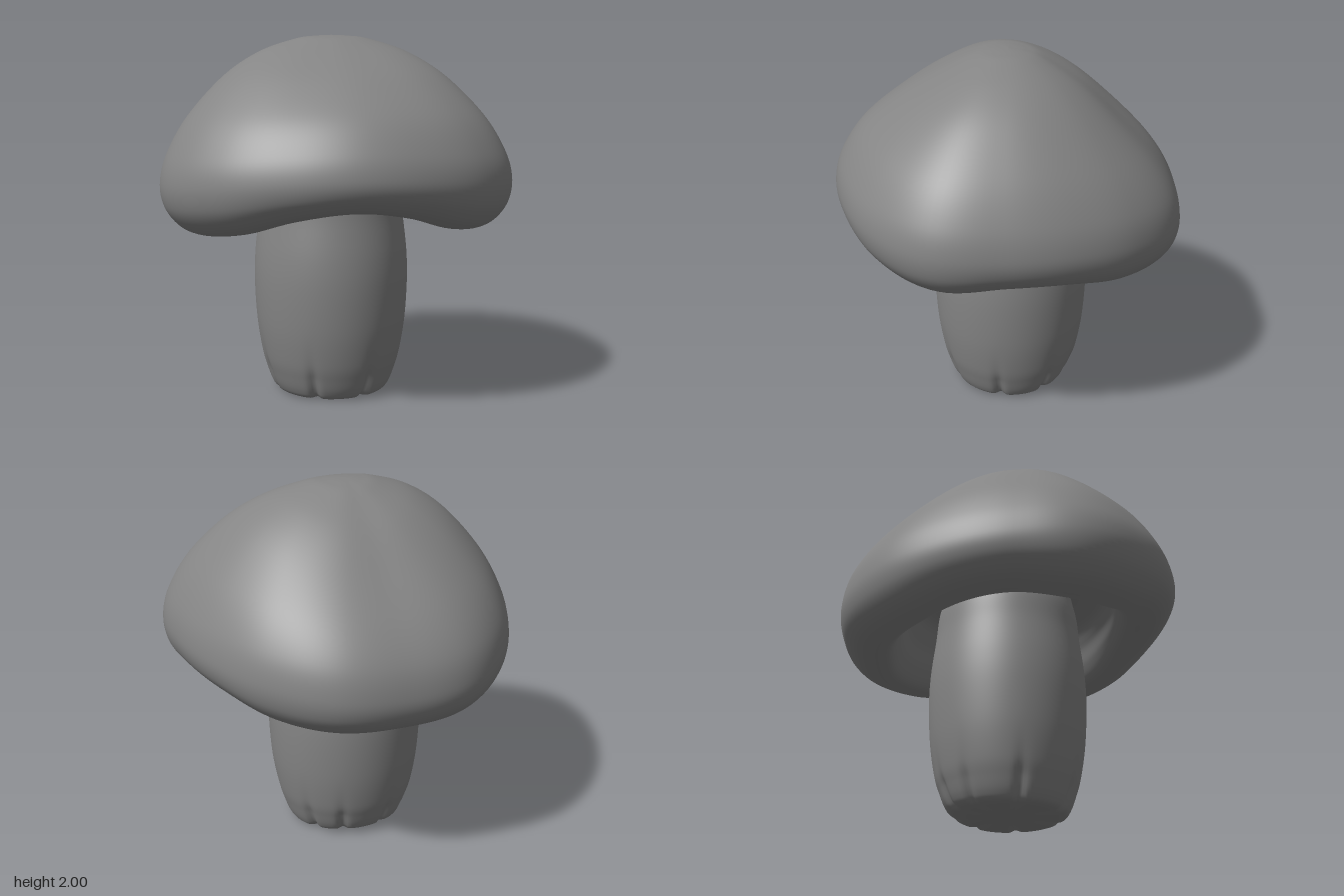
import * as THREE from 'three';

const SEG = 144;

// Closed skin from a top pole to a bottom pole; profileAt(angle) returns [radius, height] points.
function loft(name, profileAt, rows, material, centreZ = 0) {
  const position = [];
  const index = [];
  for (let j = 0; j < SEG; j++) {
    const angle = (j / SEG) * Math.PI * 2;
    const curve = new THREE.SplineCurve(profileAt(angle).map(([r, y]) => new THREE.Vector2(r, y)));
    curve.getPoints(rows).forEach((p) => {
      const r = Math.max(p.x, 0);
      position.push(r * Math.sin(angle), p.y, r * Math.cos(angle) + centreZ);
    });
  }
  // All columns share one vertex at each pole.
  const id = (i, j) => (i === 0 || i === rows ? i : (j % SEG) * (rows + 1) + i);
  for (let j = 0; j < SEG; j++) {
    for (let i = 0; i < rows; i++) {
      const a = id(i, j), b = id(i + 1, j), c = id(i + 1, j + 1), d = id(i, j + 1);
      if (i < rows - 1) index.push(a, b, c);
      if (i > 0) index.push(a, c, d);
    }
  }
  const geometry = new THREE.BufferGeometry();
  geometry.setAttribute('position', new THREE.Float32BufferAttribute(position, 3));
  geometry.setIndex(index);
  geometry.computeVertexNormals();
  const mesh = new THREE.Mesh(geometry, material);
  mesh.name = name;
  return mesh;
}

// Smooth mirrored lookup: values run from the front (0) to the back (PI) in equal steps.
function around(values, angle) {
  const n = values.length - 1;
  const u = (Math.abs(angle > Math.PI ? angle - 2 * Math.PI : angle) / Math.PI) * n;
  const i = Math.min(Math.floor(u), n - 1);
  const t = u - i;
  const at = (k) => values[k < 0 ? -k : k > n ? 2 * n - k : k];
  const [p0, p1, p2, p3] = [at(i - 1), at(i), at(i + 1), at(i + 2)];
  const v0 = (p2 - p0) / 2, v1 = (p3 - p1) / 2;
  return (2 * p1 - 2 * p2 + v0 + v1) * t ** 3 + (3 * p2 - 3 * p1 - 2 * v0 - v1) * t * t + v0 * t + p1;
}

// Cap: rim radius, rim height and lip height vary around the axis.
const RIM_RADIUS = [0.942, 0.947, 0.982, 1.005, 0.938, 0.913, 0.935, 0.965, 0.945];
const RIM_HEIGHT = [1.31, 1.29, 1.26, 1.235, 1.22, 1.2, 1.17, 1.13, 1.11];
const LIP_HEIGHT = [1.12, 1.08, 0.995, 0.96, 0.985, 0.965, 0.91, 0.885, 0.88];
const DOME_T = [0, 0.1, 0.21, 0.42, 0.63, 0.84, 0.96, 1];
const DOME_FRONT = [1, 0.988, 0.945, 0.8, 0.63, 0.41, 0.18, 0];
const DOME_SIDE = [1, 0.994, 0.975, 0.89, 0.725, 0.45, 0.195, 0];
const DOME_BACK = [1, 0.987, 0.945, 0.8, 0.595, 0.365, 0.175, 0];

function capProfile(angle) {
  const R = around(RIM_RADIUS, angle);
  const rim = around(RIM_HEIGHT, angle);
  const lip = around(LIP_HEIGHT, angle);
  const side = Math.sin(angle) ** 2;
  const front = (1 - side) * (Math.cos(angle) > 0 ? 1 : 0);
  const back = 1 - side - front;
  const dome = DOME_T.map((t, k) => {
    const h = front * DOME_FRONT[k] + side * DOME_SIDE[k] + back * DOME_BACK[k];
    return [t * R, rim + (2 - rim) * h];
  });
  // Rounded lip
  const outer = [[0.983, 0.55], [0.925, 0.23], [0.855, 0.06], [0.775, 0]]
    .map(([t, f]) => [t * R, lip + (rim - lip) * f]);
  // Hollow underside
  const inner = [[0.7, 0.06], [0.645, 0.3], [0.6, 0.65], [0.51, 0.97], [0.28, 1.05], [0, 1.06]]
    .map(([t, f]) => [t * R, lip + (1.3 - lip) * f]);
  return [...dome, ...outer, ...inner];
}

// Stem: a barrel pinched by creases that fade out upwards.
const CREASES = [25, 80, 127, 158].flatMap((d) => [d, -d]).map(THREE.MathUtils.degToRad);
const STEM = [[0, 1.4], [0.3, 1.38], [0.38, 1.2], [0.405, 1], [0.428, 0.8], [0.433, 0.62], [0.42, 0.4],
  [0.392, 0.22], [0.364, 0.12], [0.338, 0.05], [0.31, 0.012], [0.26, 0.002], [0.14, 0.006], [0, 0.01]];

function stemProfile(angle) {
  const groove = CREASES.reduce((sum, c) => {
    const d = Math.atan2(Math.sin(angle - c), Math.cos(angle - c));
    return sum + Math.exp(-((d / 0.075) ** 2));
  }, 0);
  const backLift = 0.022 * Math.max(0, -Math.cos(angle)) ** 2;
  return STEM.map(([r, y]) => {
    const low = 1 - THREE.MathUtils.smoothstep(y, 0.02, 0.3);
    const edge = Math.min(r / 0.31, 1) ** 4;
    return [r * (1 - 0.06 * groove * low * edge), y + low * edge * (0.014 * groove + backLift)];
  });
}

export function createModel() {
  const material = new THREE.MeshStandardMaterial({ color: 0x858585 });
  const model = new THREE.Group();
  model.name = 'mushroom';
  model.add(loft('cap', capProfile, 120, material));
  model.add(loft('stem', stemProfile, 91, material, -0.013));
  return model;
}
